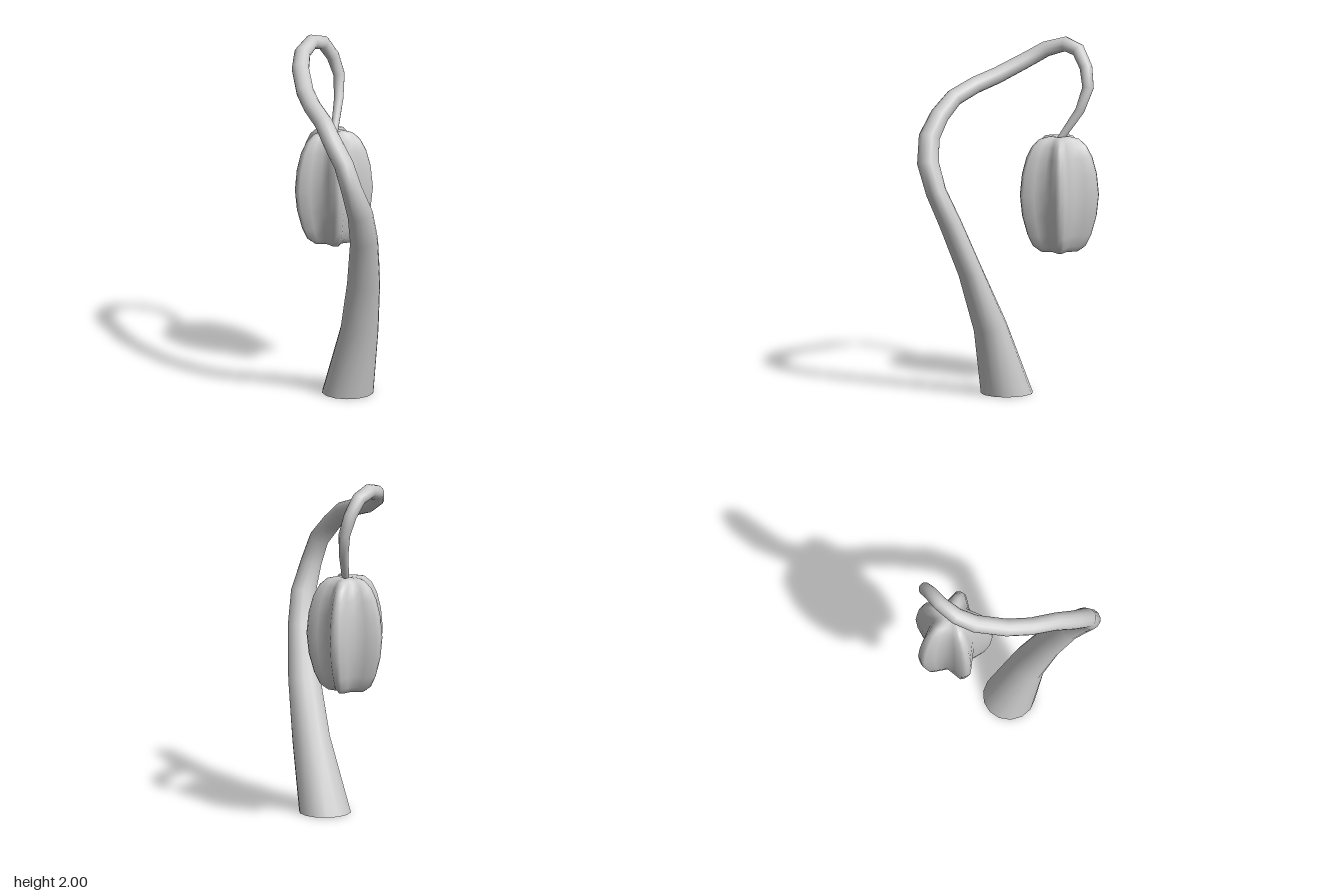
import * as THREE from 'three';

const material = new THREE.MeshStandardMaterial({ color: 0xcccccc, side: THREE.DoubleSide });

// Joins equal-length rings of points into a smooth skin.
function skin(rings, name) {
  const n = rings[0].length;
  const index = [];
  for (let i = 0; i < rings.length - 1; i++) {
    for (let j = 0; j < n; j++) {
      const k = (j + 1) % n;
      const a = i * n + j, b = i * n + k, c = a + n, d = b + n;
      index.push(a, c, b, b, c, d);
    }
  }
  const geometry = new THREE.BufferGeometry().setFromPoints(rings.flat());
  geometry.setIndex(index);
  geometry.computeVertexNormals();
  const mesh = new THREE.Mesh(geometry, material);
  mesh.name = name;
  return mesh;
}

// Tapered stalk, open at the foot: x, y, z, radius across, radius along.
function createStem() {
  const path = [
    [0.05, 0, 0, 0.148, 0.148],
    [0.095, 0.4, 0.118, 0.11, 0.094],
    [0.098, 0.72, 0.237, 0.095, 0.068],
    [0.08, 1.0, 0.35, 0.08, 0.062],
    [0.045, 1.18, 0.423, 0.073, 0.058],
    [-0.01, 1.34, 0.452, 0.06, 0.062],
    [-0.05, 1.48, 0.43, 0.056, 0.06],
    [-0.10, 1.59, 0.35, 0.054, 0.054],
    [-0.135, 1.68, 0.25, 0.051, 0.05],
    [-0.175, 1.735, 0.11, 0.05, 0.048],
    [-0.19, 1.78, -0.03, 0.05, 0.047],
    [-0.185, 1.86, -0.206, 0.05, 0.045],
    [-0.155, 1.92, -0.31, 0.047, 0.044],
    [-0.085, 1.955, -0.40, 0.042, 0.042],
    [-0.01, 1.93, -0.45, 0.04, 0.04],
    [0.05, 1.84, -0.475, 0.037, 0.037],
    [0.085, 1.73, -0.475, 0.033, 0.033],
    [0.075, 1.6, -0.43, 0.027, 0.027],
    [0.03, 1.43, -0.325, 0.02, 0.02],
  ];
  const points = path.map((p) => new THREE.Vector3(p[0], p[1], p[2]));
  const sides = 14;
  const normal = new THREE.Vector3(1, 0, 0);
  const rings = points.map((p, i) => {
    const before = points[Math.max(i - 1, 0)];
    const after = points[Math.min(i + 1, points.length - 1)];
    // The foot is cut level with the ground.
    const tangent = i === 0
      ? new THREE.Vector3(0, 1, 0)
      : p.clone().sub(before).normalize().add(after.clone().sub(p).normalize()).normalize();
    normal.addScaledVector(tangent, -normal.dot(tangent)).normalize();
    const side = tangent.clone().cross(normal);
    return Array.from({ length: sides }, (_, j) => {
      const a = (j / sides) * Math.PI * 2;
      return p.clone()
        .addScaledVector(normal, -Math.cos(a) * path[i][3])
        .addScaledVector(side, Math.sin(a) * path[i][4]);
    });
  });
  return skin(rings, 'stem');
}

// Hanging pod with five rounded ribs.
function createPod() {
  // Ridge profile from bottom to top: radius, height.
  const profile = [
    [0.001, 0.80], [0.05, 0.786], [0.11, 0.792], [0.155, 0.825], [0.187, 0.89],
    [0.218, 1.0], [0.231, 1.12], [0.219, 1.24], [0.193, 1.335],
    [0.158, 1.4], [0.115, 1.437], [0.055, 1.45], [0.001, 1.435],
  ];
  // One rib: angle in degrees, share of the ridge radius.
  const rib = [[-18, 0.785], [-7, 0.985], [0, 1], [7, 0.985], [18, 0.785], [36, 0.63]];
  const rings = profile.map(([radius, y]) => {
    const ring = [];
    for (let k = 0; k < 5; k++) {
      for (const [angle, share] of rib) {
        const a = THREE.MathUtils.degToRad(k * 72 - angle);
        const r = radius * share;
        ring.push(new THREE.Vector3(Math.sin(a) * r, y, Math.cos(a) * r));
      }
    }
    return ring;
  });
  // Order each ring so that faces point outwards.
  rings.forEach((ring) => ring.sort((p, q) => Math.atan2(p.z, p.x) - Math.atan2(q.z, q.x)));
  const pod = skin(rings, 'pod');
  pod.position.set(0.02, 0, -0.325);
  return pod;
}

export function createModel() {
  const group = new THREE.Group();
  group.name = 'hangingPodPlant';
  group.add(createStem(), createPod());
  return group;
}
